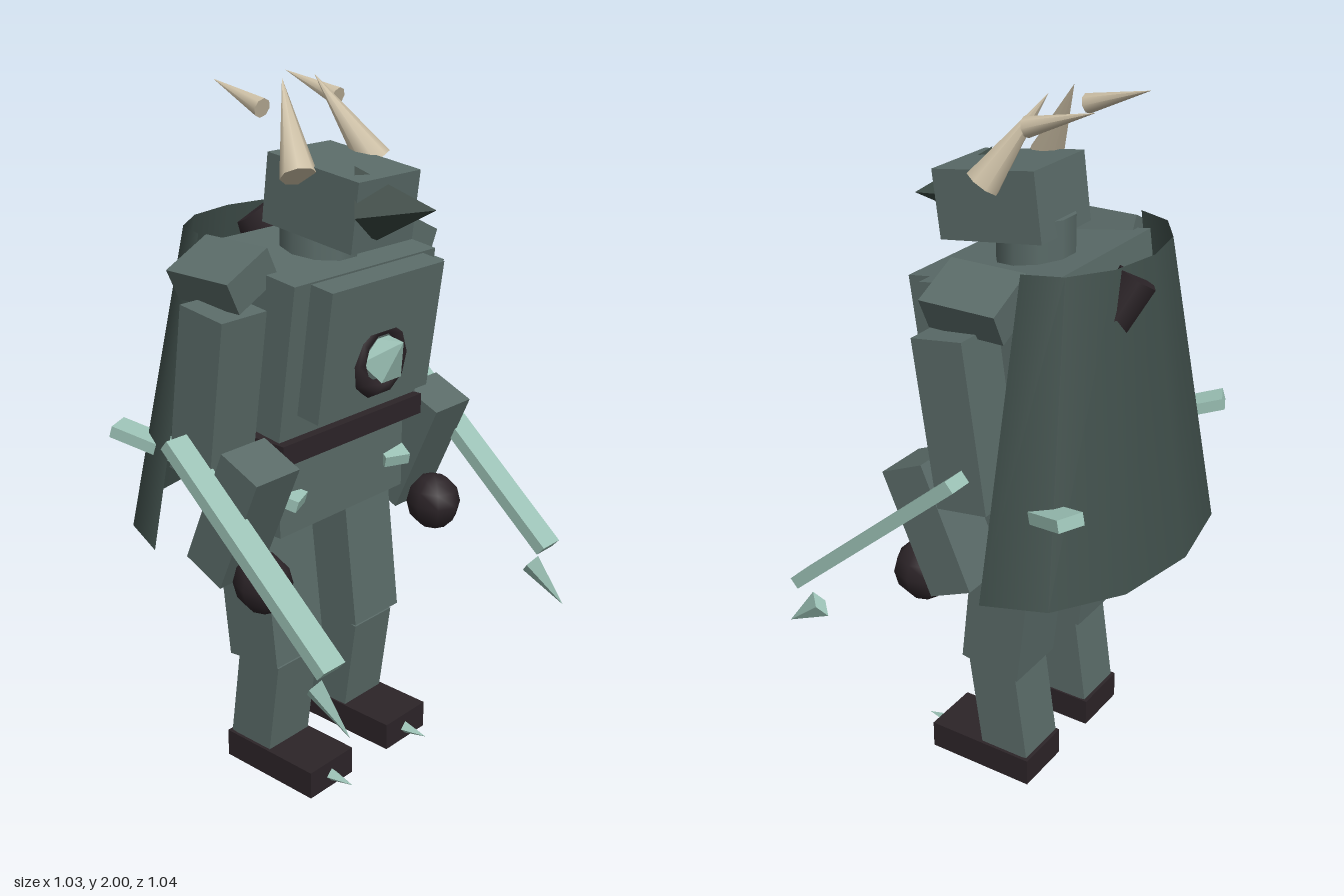
import * as THREE from 'three';
import { ConvexGeometry } from 'three/addons/geometries/ConvexGeometry.js';

const paint = (color, extra = {}) => new THREE.MeshStandardMaterial({ color, ...extra });
const V = (p) => new THREE.Vector3(...p);

export function createModel() {
  const model = new THREE.Group();
  const body = paint(0x5a6b68);
  const dark = paint(0x2c2428);
  const shade = paint(0x36443f, { flatShading: true });
  const cloth = paint(0x3f4e4a, { side: THREE.DoubleSide });
  const pale = paint(0x9cc2b6);
  const paleFlat = paint(0x9cc2b6, { flatShading: true });
  const bone = paint(0xcdc0a6);

  function add(name, geometry, material, pos = [0, 0, 0], tilt = 0) {
    const mesh = new THREE.Mesh(geometry, material);
    mesh.name = name;
    mesh.position.set(...pos);
    mesh.rotation.z = tilt;
    model.add(mesh);
    return mesh;
  }
  // Box of the given x, y, z size, tilted about z
  const box = (name, size, pos, material = body, tilt = 0) =>
    add(name, new THREE.BoxGeometry(...size), material, pos, tilt);

  // Tapered round part running from a to b
  function taper(name, a, b, r0, r1, sides, material) {
    const from = V(a), to = V(b), dir = to.clone().sub(from);
    const mesh = add(name, new THREE.CylinderGeometry(r1, r0, dir.length(), sides), material);
    mesh.position.copy(from).add(to).multiplyScalar(0.5);
    mesh.quaternion.setFromUnitVectors(new THREE.Vector3(0, 1, 0), dir.normalize());
    return mesh;
  }
  // Flat bar running from a to b, its width kept level
  function bar(name, a, b, thick, width, material) {
    const from = V(a), to = V(b), x = to.clone().sub(from);
    const mesh = add(name, new THREE.BoxGeometry(x.length(), thick, width), material);
    x.normalize();
    const z = x.clone().cross(new THREE.Vector3(0, 1, 0)).normalize();
    const y = z.clone().cross(x);
    mesh.position.copy(from).add(to).multiplyScalar(0.5);
    mesh.quaternion.setFromRotationMatrix(new THREE.Matrix4().makeBasis(x, y, z));
    return mesh;
  }

  // Trunk, leaning forward towards +x
  box('torso', [0.37, 0.44, 0.57], [-0.068, 1.333, 0], body, -0.14);
  box('chestPlate', [0.075, 0.37, 0.455], [0.16, 1.333, 0], body, -0.14);
  box('belt', [0.37, 0.06, 0.58], [-0.08, 1.055, 0], dark);
  box('pelvis', [0.29, 0.23, 0.52], [-0.085, 0.91, 0]);
  add('neck', new THREE.CylinderGeometry(0.11, 0.11, 0.18, 10), body, [-0.03, 1.58, 0]);

  // Chest gem in a dark ring
  const ring = add('gemRing', new THREE.TorusGeometry(0.085, 0.027, 6, 10), dark, [0.178, 1.28, 0]);
  ring.rotation.y = Math.PI / 2;
  taper('chestGem', [0.19, 1.285, 0], [0.27, 1.342, 0], 0.08, 0, 6, paleFlat);

  // Head with a skewed pointed muzzle
  box('head', [0.32, 0.19, 0.246], [0.045, 1.70, 0], body, -0.13);
  add('muzzle', new ConvexGeometry([
    [0.305, 1.685, -0.08], [0.23, 1.69, 0.155], [0.15, 1.8, 0.065],
    [0.19, 1.605, 0.03], [0.12, 1.69, -0.04],
  ].map(V)), shade);

  // Cape: half of an elliptical cone shell, open to the front
  const cape = add('cape',
    new THREE.CylinderGeometry(0.306, 0.505, 0.845, 6, 1, true, Math.PI, Math.PI),
    cloth, [-0.18, 1.193, 0]);
  cape.scale.x = 0.672;
  taper('capeClaw', [-0.385, 1.58, -0.085], [-0.27, 1.32, -0.2], 0.058, 0.05, 6, dark);

  for (const s of [1, -1]) {
    const side = s > 0 ? 'Front' : 'Back';

    // Legs
    box('foot' + side, [0.34, 0.085, 0.18], [0, 0.0425, 0.17 * s], dark);
    taper('toeSpike' + side, [0.165, 0.037, 0.17 * s], [0.25, 0.037, 0.17 * s], 0.022, 0, 4, paleFlat);
    box('shin' + side, [0.155, 0.31, 0.165], [-0.062, 0.23, 0.168 * s], body, -0.14);
    box('thigh' + side, [0.19, 0.42, 0.196], [-0.07, 0.585, 0.17 * s], body, 0.115);

    // Arms
    const pad = box('shoulderPad' + side, [0.225, 0.095, 0.16], [-0.0675, 1.532, 0.33 * s]);
    pad.rotation.x = 0.45 * s;
    box('upperArm' + side, [0.155, 0.47, 0.16], [-0.058, 1.225, 0.37 * s], body, -0.14);
    box('forearm' + side, [0.14, 0.37, 0.16], [0.026, 0.897, 0.37 * s], body, -0.41);
    const hand = add('hand' + side, new THREE.SphereGeometry(0.087, 8, 6), dark, [0.1, 0.717, 0.37 * s]);
    hand.scale.z = 0.88;

    // Spear shaft and its separate flat tip
    bar('spearShaft' + side, [-0.106, 1.103, 0.482 * s], [0.448, 0.63, 0.482 * s], 0.036, 0.08, pale);
    const tip = taper('spearTip' + side, [0.39, 0.56, 0.482 * s], [0.512, 0.462, 0.482 * s], 0.041, 0, 4, paleFlat);
    tip.scale.z = 0.5;

    // Bar passing through the cape and the hip
    bar('hipBar' + side, [-0.408, 1.052, 0.43 * s], [0.09, 0.895, 0.205 * s], 0.034, 0.078, pale);

    // Horns, each with a detached upper point
    taper('horn' + side, [0.035, 1.77, 0.15 * s], [-0.105, 1.998, 0.062 * s], 0.05, 0, 8, bone);
    taper('hornPoint' + side, [-0.095, 1.93, 0.147 * s], [-0.285, 1.988, 0.138 * s], 0.027, 0, 8, bone);
  }
  return model;
}
